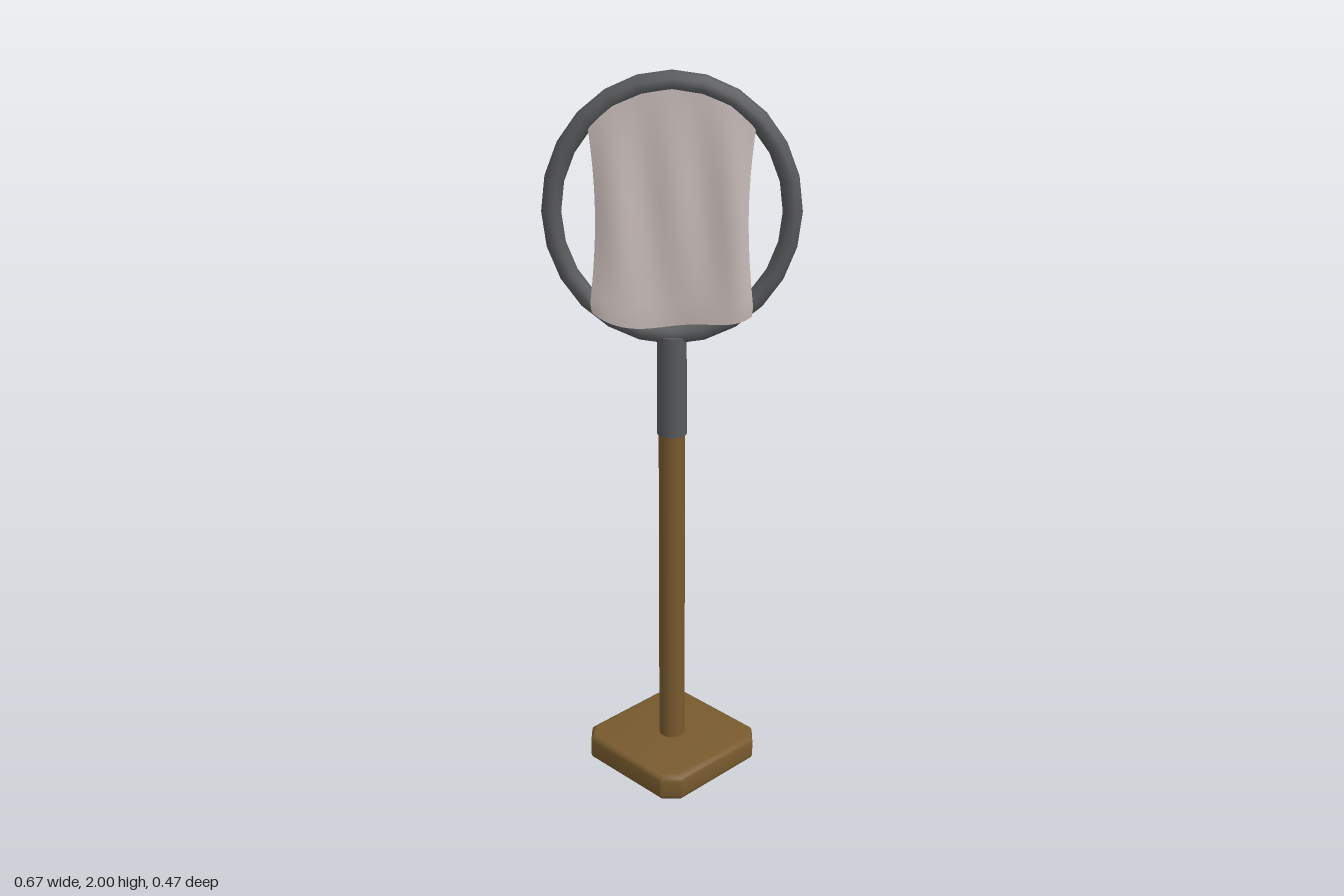
import * as THREE from 'three';
import { toCreasedNormals } from 'three/addons/utils/BufferGeometryUtils.js';

const wood = new THREE.MeshStandardMaterial({ color: 0x785a2e });
wood.name = 'wood';
const metal = new THREE.MeshStandardMaterial({ color: 0x58595b });
metal.name = 'darkMetal';
const cloth = new THREE.MeshStandardMaterial({ color: 0xc2b6b3, side: THREE.DoubleSide });
cloth.name = 'cloth';

function add(group, name, geometry, material, y = 0) {
  const mesh = new THREE.Mesh(geometry, material);
  mesh.name = name;
  mesh.position.y = y;
  group.add(mesh);
  return mesh;
}

// Diamond-shaped foot with clipped corners and rounded edges
function baseGeometry() {
  const a = 0.237, b = 0.03;
  const outline = [[a, -b], [a, b], [b, a], [-b, a], [-a, b], [-a, -b], [-b, -a], [b, -a]];
  const shape = new THREE.Shape(outline.map(([x, y]) => new THREE.Vector2(x, y)));
  const g = new THREE.ExtrudeGeometry(shape, {
    depth: 0.044, bevelSize: 0.018, bevelOffset: -0.018, bevelThickness: 0.018, bevelSegments: 3,
  });
  g.rotateX(-Math.PI / 2).translate(0, 0.018, 0);
  return toCreasedNormals(g, 0.7);
}

// Point on the bag wall: s and t run -1..1 across and through it, v runs from hem to ring
function bagPoint(s, t, v) {
  const x = s * (0.213 - 0.018 * Math.sin(Math.PI * v));
  const hang = 1 - v;
  const swell = Math.sin(Math.PI * Math.min(1, v));
  const frontDepth = 0.08 + 0.01 * Math.cos((x - 0.2) * 17.5);
  const backDepth = 0.082 + 0.013 * Math.cos((x + 0.18) * 16.5);
  let depth = THREE.MathUtils.lerp(t > 0 ? frontDepth : backDepth, 0.018, v);
  // slanting folds
  const fold = t > 0 ? Math.sin(x * 42 + v * 2.2) : Math.sin(x * 38 - v * 2 + 1);
  depth += swell * (0.006 * fold + (t > 0 ? 0.002 : 0.012));
  depth *= 1 - 0.2 * Math.pow(Math.abs(s), 8);
  // sides tuck inwards between the two panels
  const tuck = (1 - t * t) * Math.pow(Math.abs(s), 6) * 0.018 * (0.3 + hang);
  const top = 1.64 + 0.33 * Math.sqrt(1 - (x / 0.309) ** 2);
  const hem = 1.357 + 0.03 * Math.pow(Math.abs(s), 4) + 0.005 * Math.sin(x * 20);
  return [x - Math.sign(s) * tuck, THREE.MathUtils.lerp(hem, top, v), depth * t];
}

// Closed cloth bag lofted through loops that narrow towards the ring
function bagGeometry() {
  const wide = 26, deep = 6, rows = 20, loop = [];
  for (let i = 0; i < wide; i++) loop.push([1 - 2 * i / wide, 1]);
  for (let i = 0; i < deep; i++) loop.push([-1, 1 - 2 * i / deep]);
  for (let i = 0; i < wide; i++) loop.push([-1 + 2 * i / wide, -1]);
  for (let i = 0; i < deep; i++) loop.push([1, -1 + 2 * i / deep]);

  const pos = [], index = [], n = loop.length;
  // underside, rising towards the middle
  for (const [k, lift] of [[0.02, 0.04], [0.4, 0.034], [0.72, 0.018], [0.9, 0.003]]) {
    for (const [s, t] of loop) {
      const [x, y, z] = bagPoint(s, t, 0);
      pos.push(x * (0.4 + 0.6 * k), THREE.MathUtils.lerp(1.36, y, k) + lift, z * k);
    }
  }
  // rolled hem and walls
  for (let r = 0; r <= rows; r++) {
    const v = r / rows;
    for (const [s, t] of loop) {
      const [x, y, z] = bagPoint(s, t, v);
      const roll = r === 0 ? 0.97 : 1;
      pos.push(x * roll, y, z * roll);
    }
  }
  for (let r = 0; r < rows + 4; r++) {
    for (let i = 0; i < n; i++) {
      const a = r * n + i, b = r * n + (i + 1) % n;
      index.push(a, a + n, b, b, a + n, b + n);
    }
  }
  const g = new THREE.BufferGeometry();
  g.setAttribute('position', new THREE.Float32BufferAttribute(pos, 3));
  g.setIndex(index);
  return toCreasedNormals(g, 0.8);
}

export function createModel() {
  const model = new THREE.Group();
  model.name = 'hoopStand';

  add(model, 'base', baseGeometry(), wood);
  add(model, 'pole', new THREE.CylinderGeometry(0.036, 0.037, 0.98, 16), wood, 0.55);

  // Metal sleeve that carries the hoop
  add(model, 'sleeve', new THREE.CylinderGeometry(0.039, 0.041, 0.28, 16), metal, 1.17);

  // Slightly upright oval hoop
  const ring = new THREE.TorusGeometry(0.33, 0.0275, 10, 24);
  ring.scale(0.938, 1, 1);
  add(model, 'hoop', ring, metal, 1.6425);

  add(model, 'clothBag', bagGeometry(), cloth);
  return model;
}
